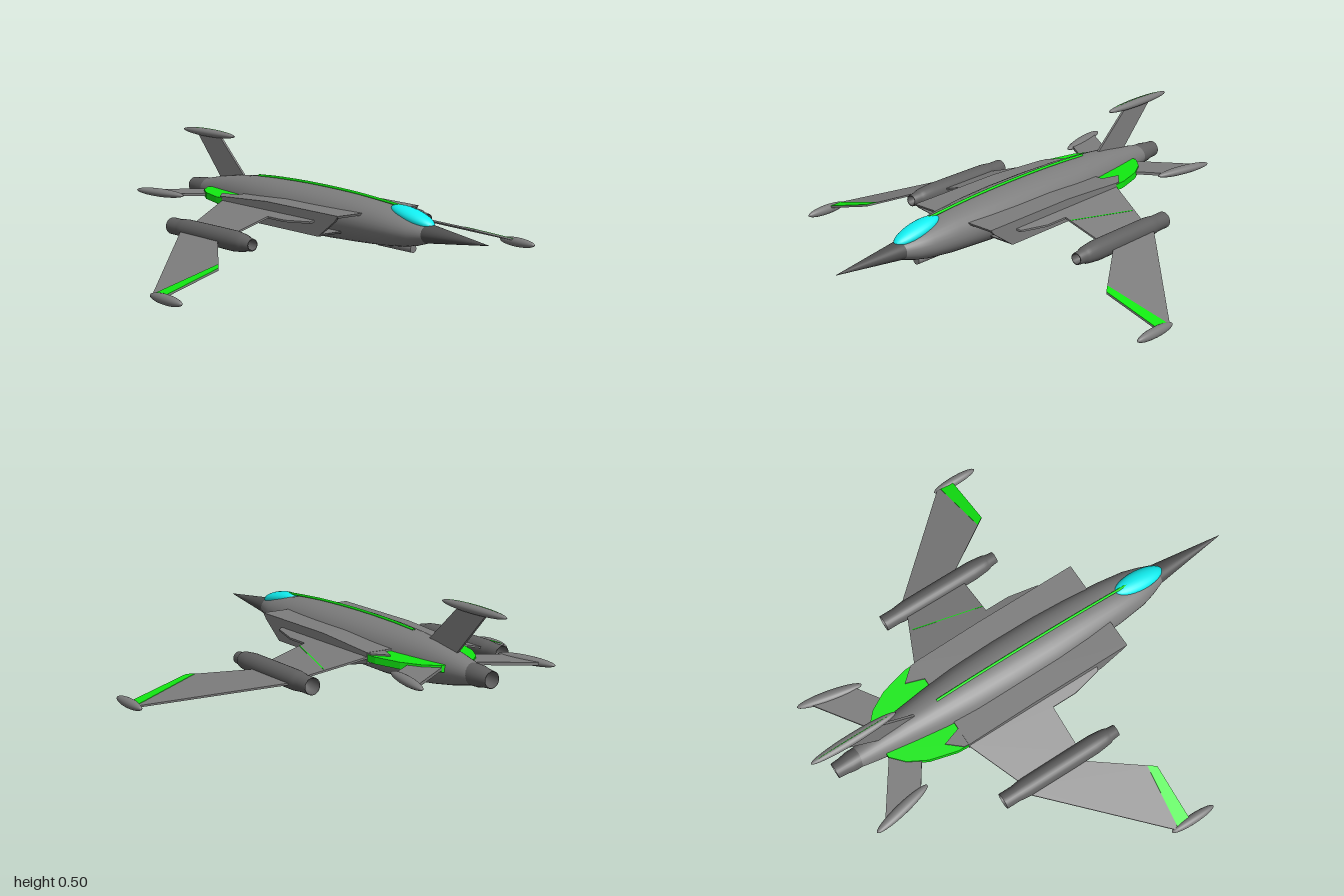
import * as THREE from 'three';

const material = (color) => new THREE.MeshStandardMaterial({ color, side: THREE.DoubleSide });
const grey = material(0x7d7d7d);
const dark = material(0x606060);
const noseGrey = material(0x505050);
const green = material(0x11ea11);
const cyan = material(0x11eef0);

const wingY = (x) => 0.165 - 0.295 * (Math.abs(x) - 0.46);

function add(parent, name, geometry, mat = grey) {
  const mesh = new THREE.Mesh(geometry, mat);
  mesh.name = name;
  parent.add(mesh);
  return mesh;
}

// Smooth body through elliptical sections [z, halfWidth, top, bottom], nose to tail
function loft(sections, sides = 32) {
  const pos = [], index = [];
  sections.forEach(([z, w, top, bottom], i) => {
    for (let j = 0; j < sides; j++) {
      const a = (j / sides) * Math.PI * 2;
      pos.push(w * Math.cos(a), (top + bottom) / 2 + ((top - bottom) / 2) * Math.sin(a), z);
      if (i === sections.length - 1) continue;
      const k = (j + 1) % sides, p = i * sides, q = p + sides;
      index.push(p + j, q + j, p + k, q + j, q + k, p + k);
    }
  });
  const g = new THREE.BufferGeometry();
  g.setAttribute('position', new THREE.Float32BufferAttribute(pos, 3));
  g.setIndex(index);
  g.computeVertexNormals();
  return g;
}

// Flat panel from a plan outline [x, z]; its height follows yAt(x)
function panel(outline, s, thickness, yAt) {
  const shape = new THREE.Shape(outline.map(([x, z]) => new THREE.Vector2(x * s, -z)));
  const g = new THREE.ExtrudeGeometry(shape, { depth: thickness, bevelEnabled: false });
  g.rotateX(-Math.PI / 2);
  const p = g.attributes.position;
  for (let i = 0; i < p.count; i++) p.setY(i, p.getY(i) - thickness / 2 + yAt(p.getX(i)));
  g.computeVertexNormals();
  return g;
}

// Upright panel from a side outline [z, y], spanning x0 to x1
function sidePanel(outline, x0, x1) {
  const shape = new THREE.Shape(outline.map(([z, y]) => new THREE.Vector2(-z, y)));
  const g = new THREE.ExtrudeGeometry(shape, { depth: Math.abs(x1 - x0), bevelEnabled: false });
  g.rotateY(Math.PI / 2);
  g.translate(Math.min(x0, x1), 0, 0);
  return g;
}

// Round body along z from a profile [radius, z]
function turned(profile, segments = 28) {
  const g = new THREE.LatheGeometry(profile.map(([r, z]) => new THREE.Vector2(r, z)), segments);
  return g.rotateX(Math.PI / 2);
}

const pod = (rx, ry, rz) => new THREE.SphereGeometry(1, 24, 16).rotateX(Math.PI / 2).scale(rx, ry, rz);

function buildSide(s) {
  const side = new THREE.Group();
  side.name = s > 0 ? 'leftSide' : 'rightSide';

  // Raked air intake, an open duct along the fuselage
  add(side, 'intakeRoof', sidePanel(
    [[0.365, 0.278], [-0.1, 0.278], [-0.41, 0.26], [-0.41, 0.252], [-0.1, 0.268], [0.36, 0.268]], s * 0.07, s * 0.21));
  add(side, 'intakeFloor', sidePanel(
    [[0.25, 0.19], [-0.25, 0.19], [-0.41, 0.222], [-0.41, 0.214], [-0.25, 0.18], [0.24, 0.18]], s * 0.06, s * 0.21));
  add(side, 'intakeWall', sidePanel(
    [[0.365, 0.278], [0.345, 0.255], [0.24, 0.18], [-0.25, 0.18], [-0.41, 0.214], [-0.41, 0.26], [-0.1, 0.278]],
    s * 0.2, s * 0.211));
  add(side, 'intakeTail', panel(
    [[0.06, -0.4], [0.21, -0.4], [0.207, -0.43], [0.155, -0.49], [0.125, -0.4]], s, 0.006, () => 0.256));

  // Green strake beside the tail
  add(side, 'tailStrake', panel(
    [[0.05, -0.38], [0.21, -0.4], [0.207, -0.46], [0.175, -0.58], [0.13, -0.66], [0.075, -0.71], [0.04, -0.71]],
    s, 0.028, () => 0.238), green);

  // Forward-swept drooping wing, green on top of the outer leading edge
  add(side, 'wingRoot', panel(
    [[0.2, 0.22], [0.228, 0.21], [0.255, 0.08], [0.255, -0.03], [0.46, -0.03], [0.46, -0.3], [0.2, -0.415]],
    s, 0.008, wingY));
  add(side, 'outerWing', panel(
    [[0.46, -0.03], [0.505, -0.03], [0.672, 0.212], [0.92, 0.212], [0.92, 0.135], [0.5, -0.3], [0.46, -0.31]],
    s, 0.008, wingY));
  add(side, 'wingEdge', panel(
    [[0.648, 0.177], [0.672, 0.212], [0.92, 0.212], [0.92, 0.15]], s, 0.002, (x) => wingY(x) + 0.005), green);
  add(side, 'wingTipPod', pod(0.021, 0.021, 0.105)).position.set(s * 0.922, 0.022, 0.225);

  // Wing engine with stepped nose and nozzle
  const engine = add(side, 'wingEngine', turned([
    [0, -0.35], [0.028, -0.36], [0.032, -0.41], [0.035, -0.41], [0.035, -0.35], [0.038, -0.33], [0.041, -0.3],
    [0.042, -0.1], [0.042, 0.03], [0.037, 0.08], [0.034, 0.1], [0.029, 0.11], [0.025, 0.145], [0.02, 0.145],
    [0.016, 0.09], [0, 0.09],
  ]), dark);
  engine.position.set(s * 0.463, 0.162, 0);

  // Tailplane with tip pod
  add(side, 'tailplane', panel(
    [[0.03, -0.68], [0.16, -0.605], [0.265, -0.675], [0.3, -0.865], [0.09, -0.72]], s, 0.012, () => 0.238));
  const tip = add(side, 'tailplanePod', pod(0.024, 0.018, 0.14));
  tip.position.set(s * 0.285, 0.238, -0.775);
  tip.rotation.y = -s * 0.21;
  return side;
}

export function createModel() {
  const model = new THREE.Group();
  model.name = 'jet';

  add(model, 'noseCone', loft([[0.985, 0.001, 0.23, 0.228], [0.66, 0.045, 0.265, 0.19]]), noseGrey);
  add(model, 'fuselage', loft([
    [0.66, 0.045, 0.265, 0.19], [0.6, 0.068, 0.28, 0.172], [0.54, 0.085, 0.294, 0.16], [0.42, 0.1, 0.314, 0.147],
    [0.25, 0.112, 0.328, 0.138], [0.1, 0.119, 0.333, 0.132], [-0.1, 0.12, 0.335, 0.127], [-0.3, 0.112, 0.332, 0.124],
    [-0.45, 0.098, 0.325, 0.129], [-0.58, 0.081, 0.313, 0.143], [-0.7, 0.063, 0.295, 0.162], [-0.8, 0.047, 0.275, 0.184],
    [-0.84, 0.038, 0.266, 0.192],
  ]));

  // Tail exhaust
  add(model, 'exhaust', turned([
    [0, -0.84], [0.026, -0.84], [0.031, -0.92], [0.034, -0.92], [0.037, -0.88], [0.043, -0.85], [0.044, -0.8],
  ]), dark).position.y = 0.23;

  // Canopy and raised spine
  const canopy = add(model, 'canopy', pod(0.045, 0.03, 0.12), cyan);
  canopy.position.set(0, 0.282, 0.565);
  canopy.rotation.x = 0.2;
  const spine = new THREE.CatmullRomCurve3(
    [[0.312, 0.53], [0.321, 0.42], [0.332, 0.25], [0.337, 0.1], [0.339, -0.1], [0.335, -0.3], [0.328, -0.43]]
      .map(([y, z]) => new THREE.Vector3(0, y, z)));
  add(model, 'spine', new THREE.TubeGeometry(spine, 40, 0.0055, 8), green);

  // Chin barrel
  const barrel = add(model, 'chinBarrel', new THREE.CylinderGeometry(0.016, 0.016, 0.2, 16));
  barrel.rotation.x = Math.PI / 2;
  barrel.position.set(0, 0.155, 0.47);

  // Swept fin with its pod and green cap line
  add(model, 'fin', sidePanel([[-0.53, 0.31], [-0.72, 0.475], [-0.89, 0.475], [-0.7, 0.28]], -0.005, 0.005));
  add(model, 'finPod', pod(0.023, 0.018, 0.195)).position.set(0, 0.478, -0.805);
  add(model, 'finPodLine', pod(0.004, 0.019, 0.192), green).position.set(0, 0.478, -0.805);

  // Thin green seam on the left wing
  add(model, 'wingSeam', panel(
    [[0.278, -0.03], [0.282, -0.03], [0.362, -0.33], [0.358, -0.33]], 1, 0.002, (x) => wingY(x) + 0.004), green);

  for (const s of [1, -1]) model.add(buildSide(s));
  return model;
}
